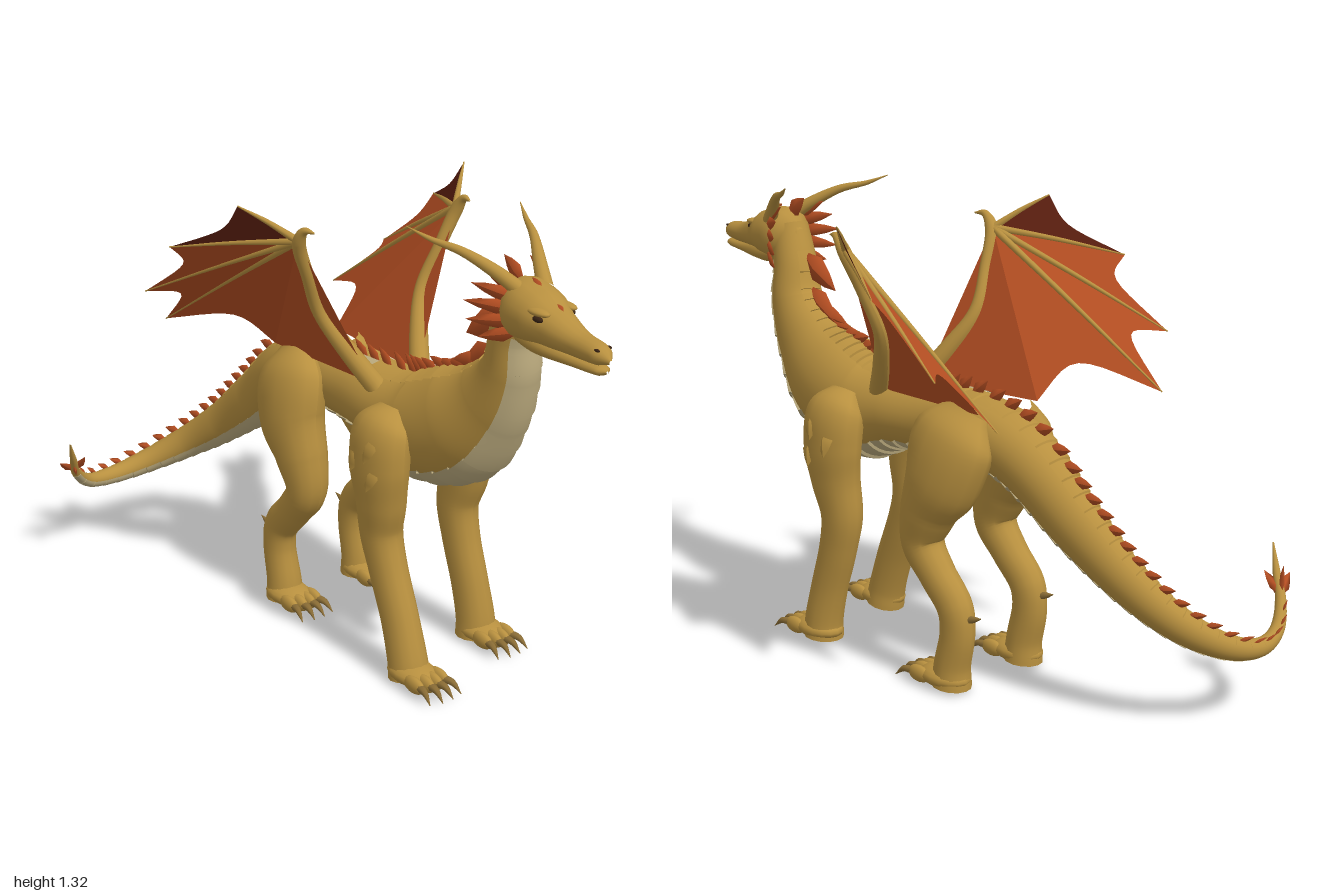
import * as THREE from 'three';

const CX = 0.022; // mirror plane of the body
const mat = (name, color, side = THREE.FrontSide) => {
  const m = new THREE.MeshStandardMaterial({ color, side });
  m.name = name;
  return m;
};
const V = (x, y, z) => new THREE.Vector3(x, y, z);

// Smooth path through [x, y, z, halfWidth, halfHeight] points, with a side and up vector at every step
function sweep(pts, steps) {
  const path = new THREE.CatmullRomCurve3(pts.map(p => V(p[0], p[1], p[2])));
  const size = new THREE.CatmullRomCurve3(pts.map(p => V(p[3], p[4] ?? p[3], 0)), false, 'catmullrom', 0.4);
  const frames = [];
  const side = V(1, 0, 0);
  for (let i = 0; i <= steps; i++) {
    const t = i / steps;
    const tan = path.getTangent(t);
    side.addScaledVector(tan, -side.dot(tan)).normalize();
    const s = size.getPoint(t);
    frames.push({ p: path.getPoint(t), tan, side: side.clone(), up: side.clone().cross(tan), w: Math.max(s.x, 0.001), h: Math.max(s.y, 0.001) });
  }
  return { path, steps, at: t => frames[Math.min(steps, Math.max(0, Math.round(t * steps)))] };
}

// Skin over part of a sweep, between two path positions and two angles
function skin(sw, t0, t1, a0, a1, nA, scale0 = 1, scale1 = 1) {
  const i0 = Math.round(t0 * sw.steps), n = Math.max(1, Math.round(t1 * sw.steps) - i0);
  const pos = [], idx = [];
  for (let i = 0; i <= n; i++) {
    const f = sw.at((i0 + i) / sw.steps), k = scale0 + (scale1 - scale0) * i / n;
    for (let j = 0; j <= nA; j++) {
      const a = a0 + (a1 - a0) * j / nA;
      const v = f.p.clone().addScaledVector(f.side, f.w * k * Math.cos(a)).addScaledVector(f.up, f.h * k * Math.sin(a));
      pos.push(v.x, v.y, v.z);
      if (i < n && j < nA) {
        const q = i * (nA + 1) + j, r = q + nA + 1;
        idx.push(q, r, q + 1, r, r + 1, q + 1);
      }
    }
  }
  const g = new THREE.BufferGeometry();
  g.setAttribute('position', new THREE.Float32BufferAttribute(pos, 3));
  g.setIndex(idx);
  g.computeVertexNormals();
  return g;
}
const limbGeo = (pts, nA = 14) => skin(sweep(pts, pts.length * 6), 0, 1, -Math.PI / 2, Math.PI * 1.5, nA);

// Leaf blade from base to tip, widest a third of the way up; wide lies along the blade
function leafGeo(base, tip, width, wide, thick = 0.006) {
  const profile = [[0.35, 0], [1, 0.35], [0.6, 0.7], [0, 1]].map(p => new THREE.Vector2(...p));
  const g = new THREE.LatheGeometry(profile, 4);
  const y = tip.clone().sub(base), len = y.length();
  y.normalize();
  const x = wide.clone().addScaledVector(y, -wide.dot(y)).normalize();
  const z = x.clone().cross(y);
  g.scale(width, len, thick);
  g.applyMatrix4(new THREE.Matrix4().makeBasis(x, y, z).setPosition(base));
  g.computeVertexNormals();
  return g;
}

export function createModel() {
  const model = new THREE.Group();
  model.name = 'dragon';
  const gold = mat('gold hide', 0xb8903f);
  const belly = mat('belly plate', 0xbcab7e, THREE.DoubleSide);
  const scute = mat('back scute', 0xb8903f, THREE.DoubleSide);
  const rust = mat('rust membrane', 0xb44e22, THREE.DoubleSide);
  const maroon = mat('dark outer membrane', 0x5e2010, THREE.DoubleSide);
  const claw = mat('claw brown', 0x8c6e36);
  const dark = mat('eye dark', 0x3a2414);
  const add = (name, geo, m, parent = model) => {
    const mesh = new THREE.Mesh(geo, m);
    mesh.name = name;
    parent.add(mesh);
    return mesh;
  };
  const ball = (name, x, y, z, sx, sy, sz, m, parent) => {
    const b = add(name, new THREE.SphereGeometry(1, 16, 10), m, parent);
    b.position.set(x, y, z);
    b.scale.set(sx, sy, sz);
  };

  // Neck, trunk and tail in one sweep
  const trunk = sweep([
    [-0.01, 1.16, 0.64, 0.055, 0.06], [0, 1.05, 0.60, 0.065, 0.065], [0.01, 0.95, 0.58, 0.075, 0.08],
    [0.015, 0.85, 0.52, 0.09, 0.112], [0.02, 0.745, 0.40, 0.125, 0.155], [0.02, 0.69, 0.24, 0.138, 0.15],
    [0.02, 0.705, 0.08, 0.125, 0.108], [0.02, 0.71, -0.08, 0.105, 0.098], [0.02, 0.71, -0.24, 0.1, 0.095],
    [0.02, 0.662, -0.4, 0.09, 0.093], [0.01, 0.52, -0.58, 0.068, 0.08], [-0.015, 0.395, -0.74, 0.052, 0.062],
    [-0.07, 0.30, -0.87, 0.042, 0.048], [-0.17, 0.235, -0.95, 0.033, 0.036], [-0.28, 0.21, -0.972, 0.026, 0.027],
    [-0.38, 0.225, -0.95, 0.02, 0.021], [-0.445, 0.28, -0.91, 0.015, 0.016], [-0.475, 0.34, -0.87, 0.011, 0.011],
    [-0.505, 0.415, -0.83, 0.002, 0.002]], 720);
  add('trunk', skin(trunk, 0, 1, -Math.PI / 2, Math.PI * 1.5, 28), gold);

  // Overlapping belly plates and back scutes
  const plates = new THREE.Group(), spines = new THREE.Group();
  plates.name = 'plates';
  spines.name = 'spines';
  model.add(plates, spines);
  const N = 44, U = i => trunk.path.getUtoTmapping(0.035 + 0.9 * i / N);
  for (let i = 0; i < N; i++) {
    // the downward-facing lip of each plate closes the step to the next one
    const lip = Math.round(U(i + 1) * trunk.steps) / trunk.steps;
    for (const [name, mid, half, grow, m] of [['bellyPlate', -Math.PI / 2, 0.88, 1.07, belly], ['backScute', Math.PI / 2, 0.5, 1.055, scute]]) {
      add(name, skin(trunk, U(i), U(i + 1), mid - half, mid + half, 10, 1.012, grow), m, plates);
      add(name + 'Lip', skin(trunk, lip, lip + 1 / trunk.steps, mid - half, mid + half, 10, grow, 1), m, plates);
    }
  }
  add('palePatch', skin(trunk, 6.3 / 18, 7.8 / 18, Math.PI / 2 + 0.05, Math.PI / 2 + 0.55, 6, 1.062, 1.062), belly, plates);

  // Spines: big fins on the nape, then a shrinking row to the tail tip
  const spine = (i, H, lift, width) => {
    const f = trunk.at(U(i));
    const base = f.p.clone().addScaledVector(f.up, f.h * 0.93);
    const tip = base.clone().addScaledVector(f.up, H * lift).addScaledVector(f.tan, H);
    add('spine', leafGeo(base, tip, width, f.tan, Math.max(0.004, H * 0.14)), rust, spines);
  };
  for (const [i, H] of [[0.3, 0.12], [2.2, 0.115], [4.2, 0.085], [5.4, 0.07], [6.6, 0.065], [7.8, 0.06]]) spine(i, H, 0.95, H * 0.34);
  for (let i = 9; i < N; i++) {
    const H = 0.056 * (1 - Math.max(0, i - 22) / 36);
    spine(i + 0.3, H, 0.85, H * 0.36);
  }
  const end = trunk.at(16.3 / 18);
  for (const a of [0, 1.6, 3.14, 4.7]) {
    const out = end.side.clone().multiplyScalar(Math.cos(a)).addScaledVector(end.up, Math.sin(a));
    add('tailFin', leafGeo(end.p, end.p.clone().addScaledVector(out, 0.04).addScaledVector(end.tan, 0.065), 0.018, end.tan), rust, spines);
  }

  // Head: skull, jaw and crest spikes down the forehead
  const head = new THREE.Group();
  head.name = 'head';
  model.add(head);
  add('skull', limbGeo([[0, 1.13, 0.575, 0.02, 0.03], [-0.005, 1.135, 0.64, 0.075, 0.08], [-0.015, 1.13, 0.72, 0.077, 0.073],
    [-0.025, 1.118, 0.79, 0.056, 0.052], [-0.035, 1.106, 0.88, 0.037, 0.034], [-0.045, 1.103, 0.96, 0.03, 0.026],
    [-0.05, 1.095, 0.998, 0.004, 0.006]], 16), gold, head);
  add('jaw', limbGeo([[-0.005, 1.08, 0.61, 0.035, 0.03], [-0.018, 1.07, 0.74, 0.052, 0.032], [-0.035, 1.064, 0.88, 0.031, 0.018],
    [-0.046, 1.066, 0.965, 0.023, 0.013], [-0.05, 1.068, 0.988, 0.003, 0.003]]), gold, head);
  for (const [x, y, z, h] of [[-0.005, 1.2, 0.63, 0.07], [-0.012, 1.195, 0.71, 0.035], [-0.022, 1.163, 0.8, 0.022]])
    add('crestSpike', leafGeo(V(x, y, z), V(x, y + h * 0.75, z - h), h * 0.32 + 0.004, V(0, 0, 1), 0.007), rust, head);

  const foot = (x, z, parent) => {
    ball('footPad', x, 0.032, z + 0.015, 0.06, 0.032, 0.085, gold, parent);
    for (let i = 0; i < 4; i++) {
      const k = (i - 1.5) / 1.5, tx = x + k * 0.043, reach = 0.015 * (1 - Math.abs(k));
      ball('toe', tx, 0.03, z + 0.075 + reach, 0.016, 0.024, 0.042, gold, parent);
      add('claw', limbGeo([[tx, 0.032, z + 0.1 + reach, 0.012], [tx + k * 0.006, 0.03, z + 0.13 + reach, 0.009],
        [tx + k * 0.012, 0.006, z + 0.16 + reach, 0.001]], 8), claw, parent);
    }
  };

  for (const s of [1, -1]) {
    const label = s > 0 ? 'left' : 'right';
    const X = d => CX + s * d, hx = d => 0.003 + s * d;
    const mirror = pts => pts.map(([x, ...r]) => [X(x), ...r]);

    // Horn, eye, brow, nostril and cheek frill
    add(label + 'Horn', limbGeo([[hx(0.035), 1.18, 0.67, 0.022], [hx(0.07), 1.225, 0.61, 0.018], [hx(0.12), 1.272, 0.53, 0.012],
      [hx(0.16), 1.294, 0.455, 0.007], [hx(0.192), 1.32, 0.395, 0.001]]), gold, head);
    ball(label + 'Eye', -0.022 + s * 0.054, 1.148, 0.768, 0.008, 0.008, 0.018, dark, head);
    ball(label + 'Brow', -0.02 + s * 0.045, 1.162, 0.757, 0.018, 0.01, 0.04, gold, head);
    ball(label + 'Nostril', -0.045 + s * 0.02, 1.12, 0.965, 0.004, 0.004, 0.009, dark, head);
    for (const [y, ty, d, tz] of [[1.19, 1.235, 0.08, 0.56], [1.17, 1.195, 0.108, 0.55], [1.14, 1.15, 0.125, 0.54], [1.11, 1.1, 0.12, 0.545], [1.08, 1.055, 0.1, 0.57]])
      add('cheekSpike', leafGeo(V(hx(0.055), y, 0.66), V(hx(d), ty, tz), 0.02, V(0, 1, 0)), rust, head);

    // Front leg; the right one steps further forward
    const front = new THREE.Group();
    front.name = label + 'FrontLeg';
    model.add(front);
    const step = s > 0 ? 0 : 0.085;
    const fPts = [[0.11, 0.755, 0.22, 0.03, 0.05], [0.145, 0.7, 0.22, 0.068, 0.1], [0.158, 0.6, 0.222, 0.068, 0.104],
      [0.155, 0.5, 0.212, 0.062, 0.085], [0.15, 0.4, 0.193, 0.056, 0.068], [0.15, 0.3, 0.21, 0.051, 0.062],
      [0.153, 0.17, 0.248, 0.05, 0.06], [0.157, 0.06, 0.272, 0.054, 0.06], [0.157, 0.01, 0.275, 0.058, 0.062]];
    add('leg', limbGeo(mirror(fPts).map(([x, y, z, w, h]) => [x, y, z + step * Math.max(0, 1 - y / 0.6), w, h])), gold, front);
    foot(X(0.16), 0.275 + step, front);
    // shoulder scales
    for (const [y, z] of [[0.7, 0.25], [0.66, 0.19], [0.62, 0.26]])
      add('shoulderScale', leafGeo(V(X(0.205), y, z), V(X(0.228), y - 0.075, z - 0.01), 0.03, V(0, 0, 1), 0.012), gold, front);

    // Hind leg with heel spur
    const hind = new THREE.Group();
    hind.name = label + 'HindLeg';
    model.add(hind);
    add('leg', limbGeo(mirror([[0.08, 0.785, -0.26, 0.04, 0.07], [0.115, 0.71, -0.24, 0.075, 0.135], [0.135, 0.6, -0.215, 0.08, 0.125],
      [0.14, 0.5, -0.165, 0.07, 0.09], [0.14, 0.4, -0.142, 0.058, 0.065], [0.14, 0.32, -0.2, 0.05, 0.055],
      [0.14, 0.24, -0.272, 0.046, 0.056], [0.14, 0.17, -0.282, 0.045, 0.055], [0.14, 0.07, -0.262, 0.05, 0.055],
      [0.14, 0.01, -0.258, 0.055, 0.06]])), gold, hind);
    add('heelSpur', limbGeo([[X(0.14), 0.215, -0.31, 0.014], [X(0.14), 0.225, -0.345, 0.009], [X(0.14), 0.235, -0.375, 0.001]], 8), claw, hind);
    foot(X(0.142), -0.25, hind);

    // Wing: arm with thumb hook, finger bones and scalloped membrane
    const wing = new THREE.Group();
    wing.name = label + 'Wing';
    model.add(wing);
    add('wingArm', limbGeo(mirror([[0.075, 0.77, 0.11, 0.03], [0.125, 0.87, 0.04, 0.027], [0.18, 0.98, -0.015, 0.021],
      [0.232, 1.1, 0, 0.018], [0.273, 1.2, 0.02, 0.019], [0.276, 1.24, 0.05, 0.011], [0.268, 1.24, 0.085, 0.002]])), gold, wing);
    const W = V(X(0.273), 1.205, 0.015);
    const tips = [[0.393, 1.298, -0.09], [0.468, 1.147, -0.315], [0.433, 0.965, -0.51], [0.308, 0.833, -0.605]].map(([x, y, z]) => V(X(x), y, z));
    for (const tip of tips) {
      const m = W.clone().lerp(tip, 0.5);
      add('wingFinger', limbGeo([[W.x, W.y, W.z, 0.011], [m.x, m.y + 0.004, m.z, 0.007], [tip.x, tip.y, tip.z, 0.002]], 8), gold, wing);
    }
    const corners = [...tips, V(X(0.11), 0.79, -0.33), V(X(0.08), 0.78, 0.09)];
    for (let c = 0; c < corners.length - 1; c++) {
      const pos = [], sag = c < 4 ? 0.19 : 0;
      const edge = k => corners[c].clone().lerp(corners[c + 1], k).lerp(W, sag * Math.sin(Math.PI * k));
      for (let i = 0; i < 10; i++)
        for (const p of [W, edge(i / 10), edge((i + 1) / 10)]) pos.push(p.x, p.y, p.z);
      const g = new THREE.BufferGeometry();
      g.setAttribute('position', new THREE.Float32BufferAttribute(pos, 3));
      g.computeVertexNormals();
      add('membrane', g, c === 0 ? maroon : rust, wing);
    }
  }
  return model;
}
